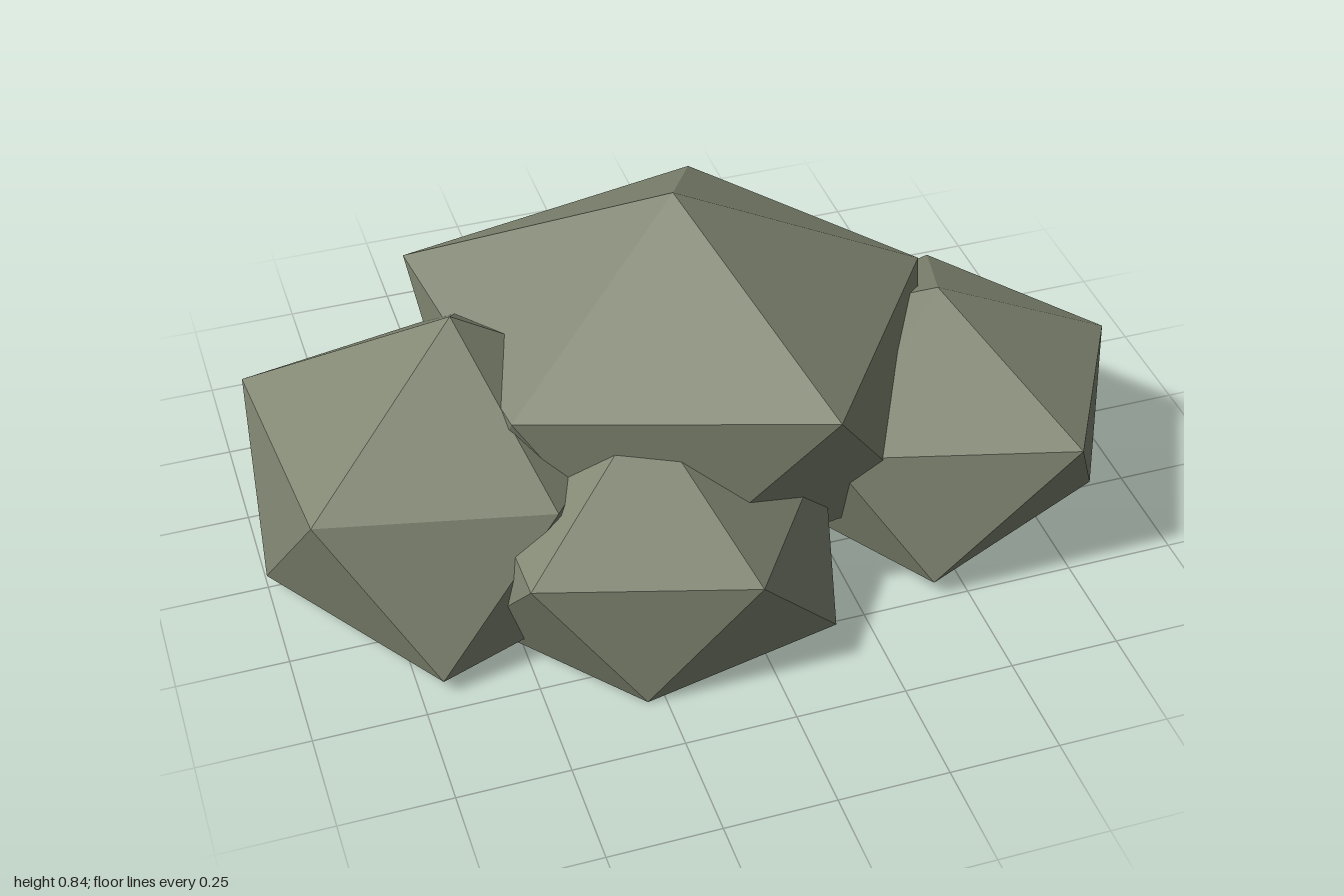
import * as THREE from 'three';

const stone = new THREE.MeshStandardMaterial({ color: 0x7f8571 });
stone.name = 'mossy grey stone';

// A faceted boulder: a peak, a five-point shoulder ring and a flat five-point base.
// Each base point sits between two shoulder points; rings run from +x towards +z.
function boulder(name, peak, shoulder, baseY, base) {
  const foot = base.map(([x, z]) => [x, baseY, z]);
  const positions = [];
  const face = (...corners) => corners.forEach((c) => positions.push(...c));
  for (let i = 0; i < 5; i++) {
    const j = (i + 1) % 5;
    face(peak, shoulder[j], shoulder[i]);
    face(shoulder[i], shoulder[j], foot[i]);
    face(shoulder[j], foot[j], foot[i]);
    if (i > 0 && i < 4) face(foot[0], foot[i], foot[j]);
  }
  const geometry = new THREE.BufferGeometry();
  geometry.setAttribute('position', new THREE.Float32BufferAttribute(positions, 3));
  geometry.computeVertexNormals();
  const mesh = new THREE.Mesh(geometry, stone);
  mesh.name = name;
  return mesh;
}

export function createModel() {
  const group = new THREE.Group();
  group.name = 'rockPile';

  // Large central boulder, raised on the others
  group.add(boulder('centreBoulder', [-0.02, 0.84, -0.05],
    [[0.57, 0.535, -0.05], [0.18, 0.56, 0.49], [-0.47, 0.52, 0.23], [-0.56, 0.56, -0.39], [0.18, 0.545, -0.56]],
    0.11, [[0.47, 0.26], [-0.2, 0.37], [-0.5, -0.05], [-0.2, -0.47], [0.45, -0.36]]));

  // Boulder on the model's right
  group.add(boulder('rightBoulder', [-0.54, 0.66, 0],
    [[-0.1, 0.38, 0], [-0.41, 0.37, 0.37], [-0.92, 0.365, 0.25], [-0.97, 0.39, -0.27], [-0.43, 0.37, -0.4]],
    0.035, [[-0.22, 0.27], [-0.7, 0.45], [-1, 0], [-0.7, -0.41], [-0.22, -0.27]]));

  // Boulder on the model's left
  group.add(boulder('leftBoulder', [0.57, 0.535, 0.07],
    [[1, 0.325, 0.07], [0.74, 0.365, 0.52], [0.22, 0.325, 0.33], [0.22, 0.33, -0.18], [0.71, 0.335, -0.31]],
    0.04, [[0.9, 0.28], [0.42, 0.49], [0.15, 0.07], [0.43, -0.32], [0.94, -0.17]]));

  // Small front boulder
  group.add(boulder('frontBoulder', [-0.18, 0.515, 0.25],
    [[0.24, 0.28, 0.24], [-0.04, 0.285, 0.64], [-0.51, 0.285, 0.5], [-0.52, 0.29, 0.01], [-0.06, 0.29, -0.1]],
    0, [[0.18, 0.51], [-0.29, 0.61], [-0.58, 0.26], [-0.32, -0.08], [0.17, 0.08]]));

  // Small back boulder
  group.add(boulder('backBoulder', [0.285, 0.54, -0.27],
    [[0.67, 0.335, -0.27], [0.4, 0.34, 0.1], [-0.03, 0.34, -0.04], [-0.03, 0.34, -0.49], [0.4, 0.34, -0.64]],
    0.035, [[0.6, -0.04], [0.16, 0.1], [-0.09, -0.27], [0.12, -0.64], [0.58, -0.46]]));

  return group;
}
